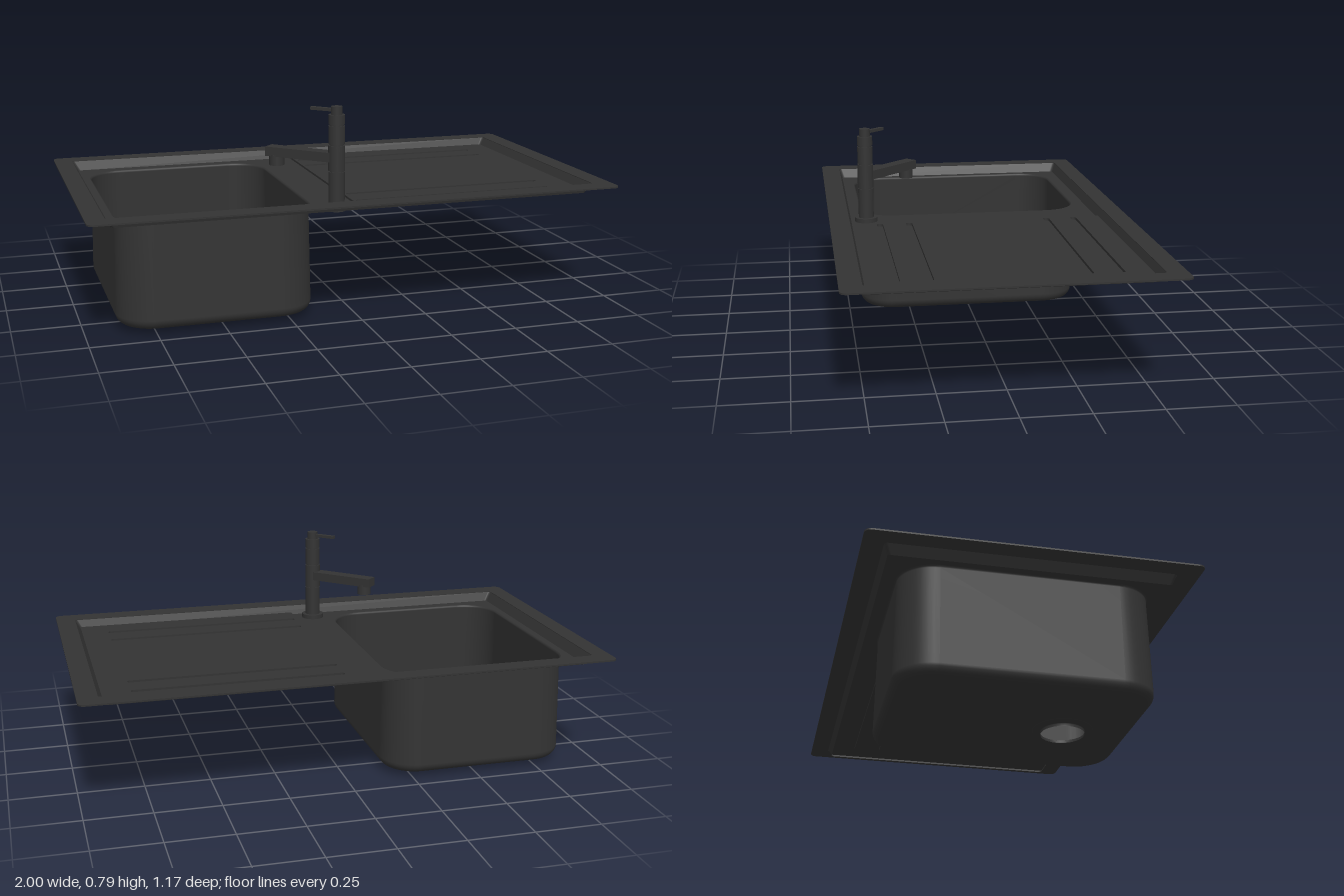
import * as THREE from 'three';

const steel = new THREE.MeshStandardMaterial({ color: 0x333333, side: THREE.DoubleSide });

// Points of a rounded rectangle in the x/z plane
function roundRect(x0, z0, x1, z1, r, n = 8) {
  const pts = [];
  const corners = [[x1 - r, z1 - r], [x0 + r, z1 - r], [x0 + r, z0 + r], [x1 - r, z0 + r]];
  corners.forEach(([cx, cz], c) => {
    for (let i = 0; i <= n; i++) {
      const a = (c + i / n) * Math.PI / 2;
      pts.push(new THREE.Vector2(cx + r * Math.cos(a), cz + r * Math.sin(a)));
    }
  });
  return pts;
}

function circle(cx, cz, r, n = 40) {
  return Array.from({ length: n }, (_, i) => {
    const a = i / n * Math.PI * 2;
    return new THREE.Vector2(cx + r * Math.cos(a), cz + r * Math.sin(a));
  });
}

function shapeOf(pts, holes) {
  const s = new THREE.Shape(pts);
  s.holes = holes.map(h => new THREE.Path(h));
  return s;
}

// Horizontal sheet at height y; a thickness makes it a slab below y
function sheet(pts, holes, y, thickness = 0) {
  const s = shapeOf(pts, holes);
  const g = thickness
    ? new THREE.ExtrudeGeometry(s, { depth: thickness, bevelEnabled: false })
    : new THREE.ShapeGeometry(s);
  return g.rotateX(Math.PI / 2).translate(0, y, 0);
}

// Skin through closed rings, each { pts, y }, listed from top to bottom
function loft(rings) {
  const pos = [], idx = [], n = rings[0].pts.length;
  rings.forEach(({ pts, y }) => pts.forEach(p => pos.push(p.x, y, p.y)));
  for (let k = 0; k < rings.length - 1; k++) {
    for (let i = 0; i < n; i++) {
      const a = k * n + i, b = k * n + (i + 1) % n;
      idx.push(a, b, a + n, b, b + n, a + n);
    }
  }
  const g = new THREE.BufferGeometry();
  g.setAttribute('position', new THREE.Float32BufferAttribute(pos, 3));
  g.setIndex(idx);
  g.computeVertexNormals();
  return g;
}

export function createModel() {
  const model = new THREE.Group();
  const add = (name, geo, parent = model) => {
    const m = new THREE.Mesh(geo, steel);
    m.name = name;
    parent.add(m);
    return m;
  };

  // Flat outer rim and the sloping wall of the shallow recess
  const opening = roundRect(-0.93, -0.51, 0.925, 0.505, 0.012, 4);
  add('rim', sheet(roundRect(-1, -0.583, 1, 0.583, 0.025), [opening], 0.457, 0.006));
  add('recessWall', loft([
    { pts: opening, y: 0.455 },
    { pts: roundRect(-0.908, -0.495, 0.903, 0.492, 0.012, 4), y: 0.419 },
  ]));

  // Deck around the bowl
  const deckY = 0.419, drainY = 0.427;
  const bowlRing = grow => roundRect(-0.875 - grow, -0.442 - grow, -0.157 + grow, 0.442 + grow, 0.13 + grow, 12);
  add('bowlDeck', sheet(roundRect(-0.908, -0.495, 0, 0.492, 0.004, 2), [bowlRing(0.006)], deckY));

  // Raised drainer with four sunken grooves and its step
  const grooves = [-0.39, -0.28, 0.27, 0.385].map(z => roundRect(0, z - 0.012, 0.8, z + 0.012, 0.011, 4)
    .map(p => new THREE.Vector2(p.x + 0.012 * (1 - p.x / 0.8), p.y)));
  add('drainer', sheet(roundRect(0, -0.497, 0.905, 0.494, 0.004, 2), grooves, drainY));
  add('drainerStep', new THREE.PlaneGeometry(0.988, drainY - deckY).rotateY(-Math.PI / 2)
    .translate(0, (drainY + deckY) / 2, -0.0015));
  grooves.forEach(pts => {
    add('grooveWall', loft([{ pts, y: drainY }, { pts, y: 0.417 }]));
    add('grooveFloor', sheet(pts, [], 0.417));
  });

  // Bowl: rolled lip, slightly flared walls and a filleted bottom edge
  const rings = [
    { pts: bowlRing(0.006), y: deckY },
    { pts: bowlRing(0.001), y: 0.416 },
    { pts: bowlRing(0), y: 0.41 },
    { pts: bowlRing(0.007), y: 0.055 },
  ];
  const fillet = 0.038;
  for (let i = 1; i <= 6; i++) {
    const a = i / 6 * Math.PI / 2;
    rings.push({
      pts: bowlRing(0.007 - fillet * (1 - Math.cos(a))),
      y: 0.055 - fillet * Math.sin(a),
    });
  }
  add('bowlWall', loft(rings));
  const dx = -0.515, dz = 0.195;
  add('bowlFloor', sheet(rings[rings.length - 1].pts, [circle(dx, dz, 0.108)], 0.017));

  // Open drain with a stepped seat
  const seat = [[0.108, 0.017], [0.102, 0.012], [0.08, 0.011], [0.078, 0.009], [0.078, 0]];
  add('drain', new THREE.LatheGeometry(seat.map(p => new THREE.Vector2(...p)), 40)).position.set(dx, 0, dz);

  // Tap: stacked body, spout towards the bowl, and lever
  const tap = new THREE.Group();
  tap.name = 'tap';
  tap.position.set(-0.08, 0, 0.432);
  tap.rotation.y = -Math.PI * 0.75;
  model.add(tap);
  const body = [
    ['tapStub', 0.034, 0.408, 0.419], ['tapFlange', 0.045, 0.419, 0.436],
    ['tapBase', 0.03, 0.436, 0.553], ['tapCore', 0.026, 0.44, 0.76],
    ['tapCollar', 0.031, 0.557, 0.65], ['tapUpperBody', 0.03, 0.655, 0.721],
    ['tapCap', 0.03, 0.727, 0.762], ['leverHub', 0.021, 0.762, 0.792],
  ];
  body.forEach(([name, r, y0, y1]) =>
    add(name, new THREE.CylinderGeometry(r, r, y1 - y0, 28).translate(0, (y0 + y1) / 2, 0), tap));
  add('spout', new THREE.BoxGeometry(0.052, 0.035, 0.285).translate(0, 0.606, 0.1425), tap);
  add('nozzle', new THREE.CylinderGeometry(0.028, 0.028, 0.04, 24).translate(0, 0.574, 0.25), tap);
  add('lever', new THREE.BoxGeometry(0.018, 0.011, 0.105).translate(0, 0.778, 0.0525), tap);

  return model;
}
